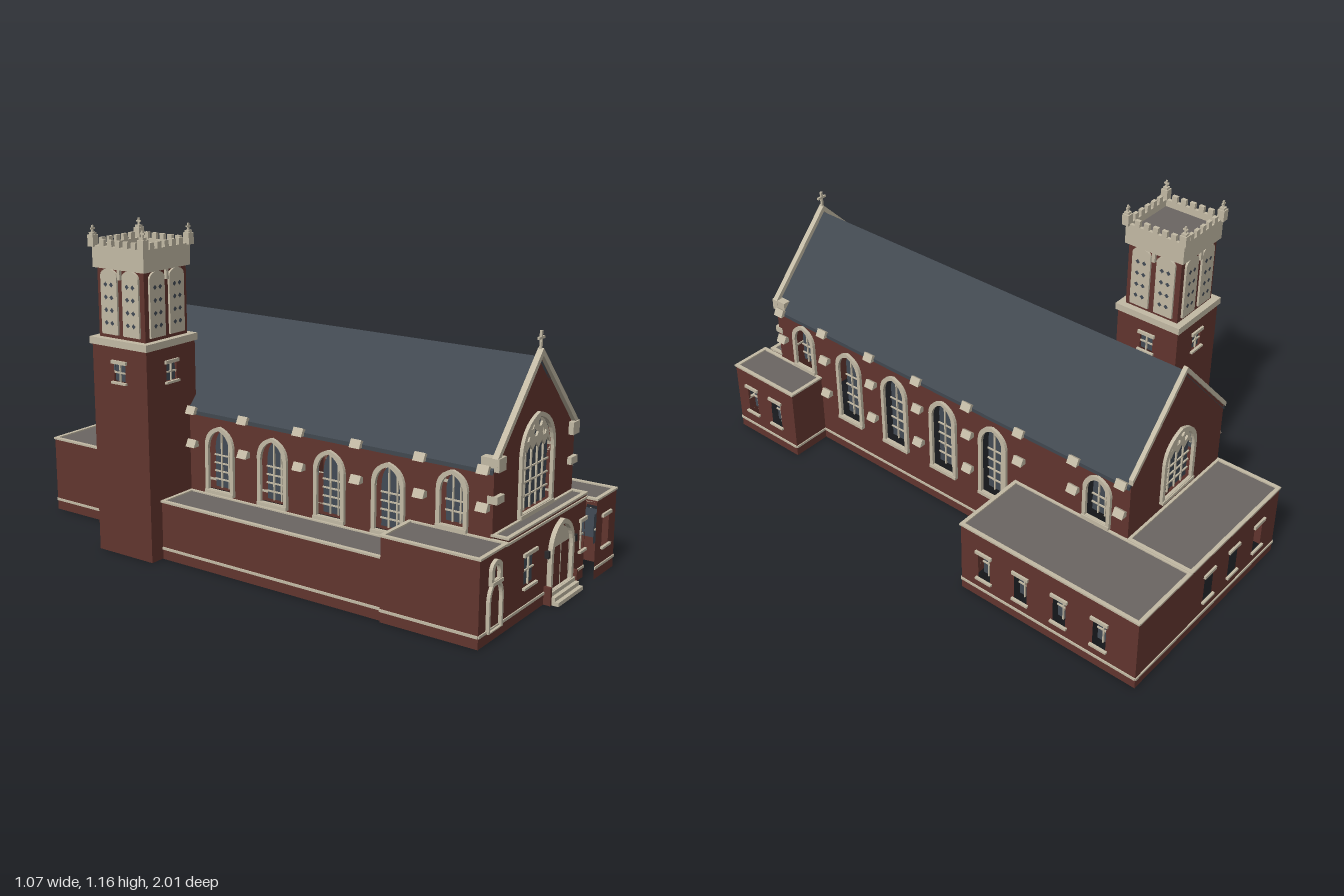
import * as THREE from 'three';

const mat = (name, color, side = THREE.FrontSide) => {
  const m = new THREE.MeshStandardMaterial({ color, side });
  m.name = name;
  return m;
};

export function createModel() {
  const brick = mat('brick', 0x62352e, THREE.DoubleSide);
  const stone = mat('stone', 0xc3baa5, THREE.DoubleSide);
  const slate = mat('slate', 0x414850, THREE.DoubleSide);
  const glass = mat('glass', 0x434b55, THREE.DoubleSide);
  const flatRoof = mat('flat roof', 0x6b6663, THREE.DoubleSide);
  const iron = mat('iron', 0x2b2a2c);

  const root = new THREE.Group();
  root.name = 'church';
  const RIDGE = -0.0375, NX0 = -0.31, NX1 = 0.235, NZ0 = -0.745, NZ1 = 0.895;

  const group = (name, parent = root) => {
    const g = new THREE.Group();
    g.name = name;
    parent.add(g);
    return g;
  };
  const add = (parent, name, geo, m, z = 0) => {
    const mesh = new THREE.Mesh(geo, m);
    mesh.name = name;
    mesh.position.z = z;
    parent.add(mesh);
    return mesh;
  };
  // Box given by its two opposite corners
  const box = (p, name, m, x0, x1, y0, y1, z0, z1) => {
    const mesh = add(p, name, new THREE.BoxGeometry(x1 - x0, y1 - y0, z1 - z0), m);
    mesh.position.set((x0 + x1) / 2, (y0 + y1) / 2, (z0 + z1) / 2);
    return mesh;
  };
  const shapeOf = (pts, holes = []) => {
    const s = new THREE.Shape(pts);
    s.holes = holes.map((h) => new THREE.Path(h));
    return s;
  };
  const extrude = (shape, depth) => new THREE.ExtrudeGeometry(shape, { depth, bevelEnabled: false });
  const V = (x, y) => new THREE.Vector2(x, y);

  // Outline of a rectangular (rise 0) or softly pointed opening
  const opening = (c, hw, y0, y1, rise = 0) => {
    const pts = [V(c - hw, y0), V(c + hw, y0)];
    if (!rise) return [...pts, V(c + hw, y1), V(c - hw, y1)];
    const half = new THREE.QuadraticBezierCurve(V(hw, y1 - rise), V(hw * 0.92, y1 - rise * 0.2), V(0, y1)).getPoints(8);
    half.forEach((p) => pts.push(V(c + p.x, p.y)));
    half.slice(0, -1).reverse().forEach((p) => pts.push(V(c - p.x, p.y)));
    return pts;
  };

  // Glass, glazing bars and surround in a wall's local plane
  const addWindow = (f, w, c) => {
    const { hw, y0, y1, rise = 0, inset = 0.03, cols = 2, rows = 2, t = 0.014 } = w;
    const g = group('window', f);
    add(g, 'windowGlass', new THREE.ShapeGeometry(shapeOf(opening(c, hw, y0, y1, rise))), glass, -inset);
    const b = 0.0025, zb = -inset + 0.002;
    for (let i = 1; i < cols; i++) {
      const u = (i / cols) * 2 - 1;
      box(g, 'mullion', stone, c + u * hw - b, c + u * hw + b, y0, y1 - rise * (0.1 + 0.5 * u * u), zb, zb + 0.006);
    }
    for (let j = 1; j < rows; j++) {
      const y = y0 + ((y1 - rise - y0) * j) / (rows - 0.01);
      box(g, 'glazingBar', stone, c - hw, c + hw, y - b, y + b, zb, zb + 0.005);
    }
    if (rise) {
      const s = shapeOf(opening(c, hw + t, y0 - t * 0.6, y1 + t, rise), [opening(c, hw, y0, y1, rise)]);
      add(g, 'windowSurround', extrude(s, 0.012), stone);
      box(g, 'sill', stone, c - hw - t, c + hw + t, y0 - t, y0 - 0.002, 0, 0.016);
    } else {
      box(g, 'lintel', stone, c - hw - 0.008, c + hw + 0.008, y1, y1 + 0.012, 0, 0.008);
      box(g, 'sill', stone, c - hw - 0.008, c + hw + 0.008, y0 - 0.008, y0, 0, 0.01);
    }
  };

  // A wall facing one side; positions along it are given in world x or z
  const turn = { front: 0, right: Math.PI / 2, back: Math.PI, left: -Math.PI / 2 };
  const wall = (parent, side, at, outline, windows = []) => {
    const f = group(side + 'Wall', parent);
    f.rotation.y = turn[side];
    f.position[side === 'front' || side === 'back' ? 'z' : 'x'] = at;
    const s = side === 'front' || side === 'left' ? 1 : -1;
    const holes = windows.map((w) => opening(s * w.c, w.hw, w.y0, w.y1, w.rise));
    const shape = shapeOf(outline.map(([u, y]) => V(s * u, y)), holes);
    add(f, 'brickwork', new THREE.ShapeGeometry(shape), brick);
    windows.forEach((w) => addWindow(f, w, s * w.c));
    return f;
  };
  const rect = (a, b, h) => [[a, 0], [b, 0], [b, h], [a, h]];
  // Rectangular ring of four bars
  const ring = (p, name, m, x0, x1, z0, z1, y0, y1, t, o) => {
    box(p, name, m, x0 - o, x1 + o, y0, y1, z1 - t, z1 + o);
    box(p, name, m, x0 - o, x1 + o, y0, y1, z0 - o, z0 + t);
    box(p, name, m, x0 - o, x0 + t, y0, y1, z0 + t, z1 - t);
    box(p, name, m, x1 - t, x1 + o, y0, y1, z0 + t, z1 - t);
  };
  // Flat-roofed block with coping and base course
  const annex = (name, x0, x1, z0, z1, h, sides) => {
    const g = group(name);
    for (const side in sides) {
      const x = side === 'left' || side === 'right';
      const at = { front: z1, back: z0, left: x0, right: x1 }[side];
      const f = wall(g, side, at, x ? rect(z0, z1, h) : rect(x0, x1, h), sides[side]);
      const s = side === 'front' || side === 'left' ? 1 : -1;
      const [a, b] = (x ? [z0, z1] : [x0, x1]).map((v) => v * s).sort((p, q) => p - q);
      box(f, 'baseCourse', stone, a, b, 0.036, 0.045, 0, 0.004);
    }
    ring(g, 'coping', stone, x0, x1, z0, z1, h - 0.007, h, 0.01, 0.004);
    const roof = add(g, 'flatRoof', new THREE.PlaneGeometry(x1 - x0, z1 - z0), flatRoof);
    roof.rotation.x = -Math.PI / 2;
    roof.position.set((x0 + x1) / 2, h - 0.005, (z0 + z1) / 2);
    return g;
  };

  // Nave walls
  const nave = group('nave');
  const gable = [[NX0, 0], [NX1, 0], [NX1, 0.52], [RIDGE, 0.812], [NX0, 0.52]];
  const great = { c: RIDGE, hw: 0.1, y0: 0.32, y1: 0.62, rise: 0.12, inset: 0.012, cols: 5, rows: 4 };
  const tall = [0.52, 0.29, 0.055, -0.175], short = [0.755, -0.62];
  const sideWindows = (base) => [
    ...tall.map((c) => ({ c, hw: 0.048, y0: base, y1: 0.452, rise: 0.07, cols: 3, rows: 5 })),
    ...short.map((c) => ({ c, hw: 0.042, y0: 0.305, y1: 0.472, rise: 0.06, cols: 3, rows: 3 })),
  ];
  const frontGable = wall(nave, 'front', NZ1, gable, [great]);
  const rearGable = wall(nave, 'back', NZ0, gable, [{ ...great, hw: 0.08, y1: 0.57, y0: 0.33, rise: 0.1, cols: 4 }]);
  const rightWall = wall(nave, 'right', NX1, rect(NZ0, NZ1, 0.51), sideWindows(0.165));
  box(rightWall, 'baseCourse', stone, -0.68, 0.275, 0.036, 0.045, 0, 0.004);
  wall(nave, 'left', NX0, rect(NZ0, NZ1, 0.51), sideWindows(0.235));

  // Pierced tracery in the window heads
  const tracery = (f, c, hw, y, top, rise, n) => {
    const arch = opening(c, hw, y, top, rise).slice(2);
    for (let i = 0; i <= 2 * n; i++) arch.push(V(c - hw + (hw * i) / n, y - 0.012 + (i % 2) * 0.022));
    const k = hw / 0.1;
    const holes = [[-0.056, 0.035], [0, 0.042], [0.056, 0.035], [-0.028, 0.07], [0.028, 0.07]].map(([x, dy]) =>
      new THREE.Path().absarc(c + x * k, y + dy * k, 0.014 * k, 0, Math.PI * 2).getPoints(3));
    add(f, 'tracery', extrude(shapeOf(arch, holes), 0.008), stone, -0.009);
  };
  tracery(frontGable, RIDGE, 0.1, 0.522, 0.62, 0.12, 5);
  tracery(rearGable, -RIDGE, 0.08, 0.487, 0.57, 0.1, 4);

  // Pitched roof and gable copings
  const chevron = (name, m, hw, eave, apex, t, z0, z1) => {
    const s = shapeOf([V(-hw, eave), V(-hw, eave - t), V(0, apex - t), V(hw, eave - t), V(hw, eave), V(0, apex)]);
    add(nave, name, extrude(s, z1 - z0), m, z0).position.x = RIDGE;
  };
  chevron('roof', slate, 0.281, 0.508, 0.81, 0.014, NZ0, NZ1);
  chevron('frontCoping', stone, 0.276, 0.545, 0.838, 0.024, 0.888, 0.908);
  chevron('rearCoping', stone, 0.276, 0.535, 0.828, 0.02, NZ0 - 0.008, NZ0 + 0.008);
  box(nave, 'crossUpright', stone, RIDGE - 0.004, RIDGE + 0.004, 0.825, 0.893, 0.893, 0.901);
  box(nave, 'crossArm', stone, RIDGE - 0.019, RIDGE + 0.019, 0.866, 0.874, 0.893, 0.901);

  // Corner stones and sloped buttress caps
  for (const s of [-1, 1]) {
    const edge = RIDGE + s * 0.275;
    const inner = edge - s * 0.046;
    const [a, b] = [Math.min(edge, inner), Math.max(edge, inner)];
    box(nave, 'kneeler', stone, a, b, 0.503, 0.546, 0.85, 0.913);
    box(nave, 'cornerStone', stone, a, b, 0.4, 0.425, 0.875, 0.91);
    const tri = shapeOf([V(0, -0.013), V(0.027, -0.013), V(0.013, 0.014), V(0, 0.006)]);
    [0.865, 0.64, 0.4, 0.17, -0.065, -0.295, -0.525, -0.715].forEach((z, i) => {
      for (const y of [0.51, 0.39, 0.24]) {
        if (y < 0.3 && (s < 0 || i < 1 || i > 4)) continue;
        const cap = add(nave, 'buttressCap', extrude(tri, 0.04), stone);
        cap.rotation.y = s > 0 ? 0 : Math.PI;
        cap.position.set(s > 0 ? NX1 : NX0, y, z - s * 0.02);
      }
    });
  }

  // Low blocks around the nave
  const small = (c, y0 = 0.095, hw = 0.026) => ({ c, hw, y0, y1: y0 + 0.105 });
  const narthex = annex('narthex', NX0, NX1, NZ1, 0.95, 0.304, {
    front: [{ c: -0.162, hw: 0.037, y0: 0.107, y1: 0.208, inset: 0.01 }, { c: 0.214, hw: 0.018, y0: 0.107, y1: 0.208, inset: 0.01 }],
  });
  box(narthex, 'stringCourse', stone, NX0 - 0.015, NX1, 0.281, 0.289, 0.945, 0.955);
  annex('leftPorch', -0.48, NX0, 0.6, 0.95, 0.29, {
    front: [{ c: -0.392, hw: 0.019, y0: 0.2, y1: 0.25, rise: 0.03, inset: 0.006, rows: 1 }], left: [], back: [],
  });
  annex('rightPorch', NX1, 0.387, 0.68, 0.99, 0.287, {
    front: [small(0.31, 0.105)], right: [small(0.91, 0.1), small(0.78, 0.1)], back: [],
  });
  annex('leftAisle', -0.47, NX0, -0.31, 0.6, 0.215, { left: [] });
  annex('rearBlock', NX0, NX1, -0.995, NZ0, 0.287, { back: [0.12, -0.03, -0.19].map((c) => small(c)), left: [] });
  annex('rightRearBlock', NX1, 0.525, -0.995, -0.275, 0.285, {
    front: [small(0.38, 0.09)], right: [-0.375, -0.53, -0.69, -0.85].map((c) => small(c, 0.09)), back: [], left: [],
  });

  // Blind arch on the left porch
  const arch = shapeOf(opening(-0.392, 0.044, 0.036, 0.2, 0.06), [opening(-0.392, 0.035, 0.04, 0.191, 0.055)]);
  add(root, 'blindArch', extrude(arch, 0.012), stone, 0.95);

  // Main entrance: surround, doors, steps, rails and lamps
  const door = group('entrance');
  const DC = 0.045;
  const surround = shapeOf(opening(DC, 0.082, 0.04, 0.268, 0.1), [opening(DC, 0.068, 0.041, 0.252, 0.09)]);
  add(door, 'doorSurround', extrude(surround, 0.016), stone, 0.95);
  add(door, 'tympanum', extrude(shapeOf(opening(DC, 0.058, 0.18, 0.243, 0.06)), 0.006), stone, 0.95);
  for (const s of [-1, 1]) {
    box(door, 'doorLeaf', brick, DC + s * 0.03 - 0.0275, DC + s * 0.03 + 0.0275, 0.04, 0.18, 0.95, 0.956);
    box(door, 'doorJamb', stone, DC + s * 0.06 - 0.002, DC + s * 0.06 + 0.002, 0.04, 0.18, 0.95, 0.957);
    box(door, 'lamp', iron, DC + s * 0.098 - 0.006, DC + s * 0.098 + 0.006, 0.16, 0.184, 0.95, 0.965);
    box(door, 'stepRail', brick, DC + s * 0.095 - 0.005, DC + s * 0.095 + 0.005, 0, 0.062, 0.95, 0.975);
  }
  box(door, 'doorMeeting', stone, DC - 0.002, DC + 0.002, 0.04, 0.18, 0.95, 0.957);
  for (let i = 0; i < 3; i++) {
    box(door, 'step', stone, DC - 0.09 + i * 0.002, DC + 0.09 - i * 0.002, i * 0.0135, (i + 1) * 0.0135, 0.95, 1 - i * 0.014);
  }

  // Tower shaft
  const tower = group('tower');
  const TX = -0.4, TZ = -0.437, R = 0.124;
  const towerWindow = (c) => [{ c, hw: 0.026, y0: 0.63, y1: 0.692, inset: 0.008 }];
  wall(tower, 'front', TZ + R, rect(TX - R, TX + R, 0.75), towerWindow(TX));
  wall(tower, 'back', TZ - R, rect(TX - R, TX + R, 0.75), towerWindow(TX));
  wall(tower, 'left', TX - R, rect(TZ - R, TZ + R, 0.75), towerWindow(TZ));
  wall(tower, 'right', TX + R, rect(TZ - R, TZ + R, 0.75), towerWindow(TZ));
  const top = group('belfry', tower);
  top.position.set(TX, 0, TZ);
  box(top, 'towerCornice', stone, -0.131, 0.131, 0.75, 0.775, -0.131, 0.131);
  box(top, 'belfryCore', brick, -0.106, 0.106, 0.775, 1.02, -0.106, 0.106);
  ring(top, 'parapet', stone, -0.117, 0.117, -0.117, 0.117, 1.014, 1.09, 0.013, 0);
  box(top, 'towerRoof', flatRoof, -0.11, 0.11, 1.015, 1.065, -0.11, 0.11);

  // Belfry faces: pierced louvre panels, battlements and corner pinnacles
  for (let k = 0; k < 4; k++) {
    const f = group('belfryFace', top);
    f.rotation.y = (k * Math.PI) / 2;
    for (const s of [-1, 1]) {
      const c = s * 0.049;
      add(f, 'louvrePanel', extrude(shapeOf(opening(c, 0.037, 0.788, 1.015, 0.025)), 0.008), stone, 0.106);
      for (let j = 0; j < 8; j++) {
        const d = add(f, 'louvreHole', new THREE.CircleGeometry(0.009, 4), glass, 0.115);
        d.position.x = c + (j % 2 ? 0.013 : -0.013);
        d.position.y = 0.828 + Math.floor(j / 2) * 0.044;
      }
    }
    box(f, 'centreCorbel', stone, -0.006, 0.006, 0.98, 1.015, 0.106, 0.117);
    for (let i = -2; i <= 2; i++) {
      box(f, 'merlon', stone, i * 0.036 - 0.01, i * 0.036 + 0.01, 1.09, 1.112, 0.104, 0.117);
    }
    const p = group('pinnacle', f);
    p.position.set(0.114, 0, 0.114);
    box(p, 'pinnacleShaft', stone, -0.013, 0.013, 1.085, 1.125, -0.013, 0.013);
    box(p, 'pinnacleCap', stone, -0.009, 0.009, 1.125, 1.133, -0.009, 0.009);
    box(p, 'finial', stone, -0.003, 0.003, 1.133, 1.157, -0.003, 0.003);
    box(p, 'finialArm', stone, -0.009, 0.009, 1.143, 1.149, -0.003, 0.003);
  }
  return root;
}
